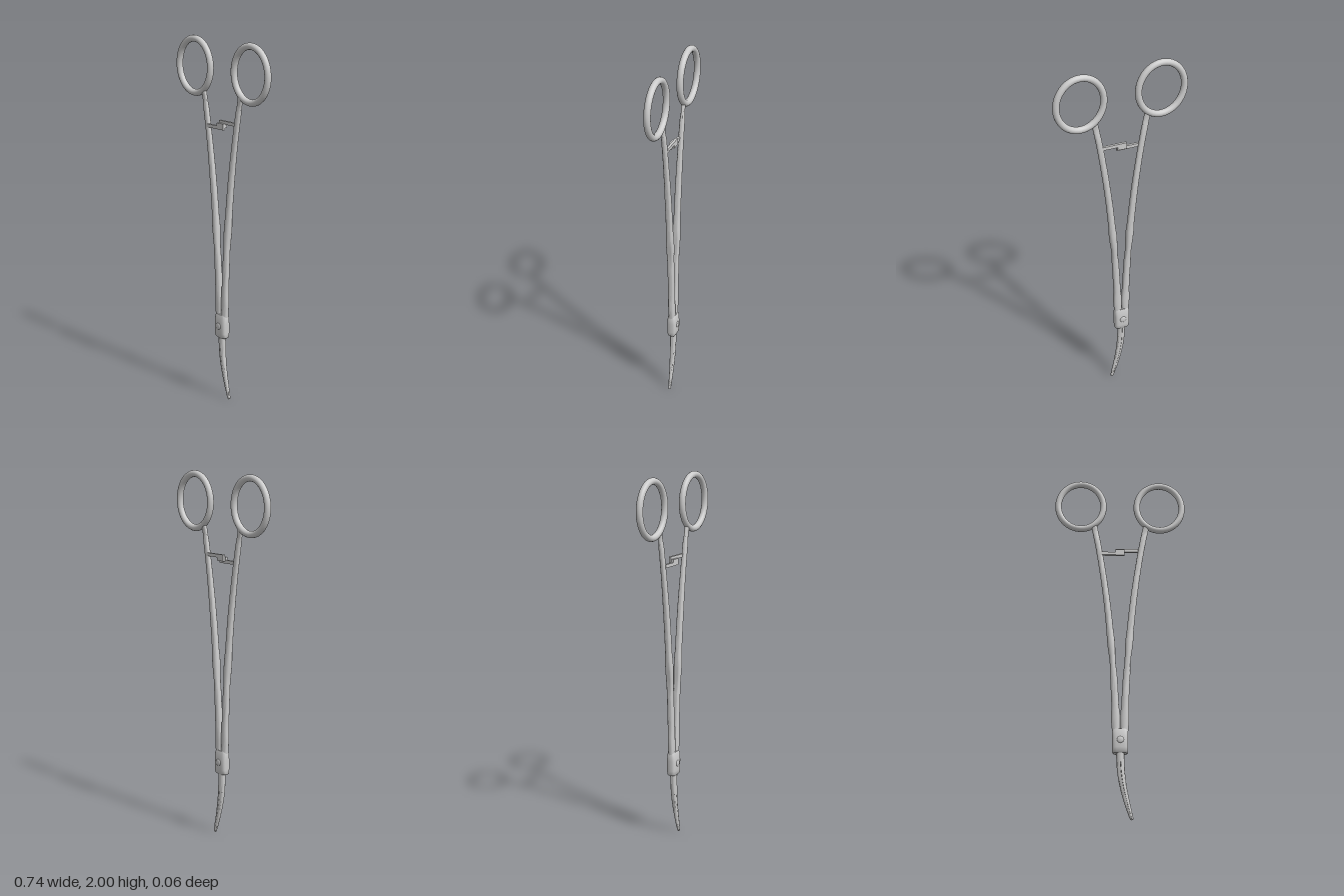
import * as THREE from 'three';
import { toCreasedNormals } from 'three/addons/utils/BufferGeometryUtils.js';

const steel = new THREE.MeshStandardMaterial({ color: 0xcccccc });

function add(parent, name, geometry, x = 0, y = 0, z = 0) {
  const mesh = new THREE.Mesh(geometry, steel);
  mesh.name = name;
  mesh.position.set(x, y, z);
  parent.add(mesh);
  return mesh;
}

// Superellipse outline over an angle range; power 1 is an ellipse, smaller is boxier.
function section(count, power = 1, start = 0, sweep = Math.PI * 2) {
  const full = sweep > 6;
  return Array.from({ length: count }, (_, i) => {
    const a = start + (sweep * i) / (full ? count : count - 1);
    const f = (v) => Math.abs(v) < 1e-6 ? 0 : Math.sign(v) * Math.abs(v) ** power;
    return [f(Math.cos(a)), f(Math.sin(a))];
  });
}

// Sweeps an outline along stations [x, y, half width, half depth] in the xy plane.
function loft(stations, outline, crease = 0.7) {
  const n = outline.length, last = stations.length - 1;
  const pos = [], idx = [];
  stations.forEach(([x, y, w, d], i) => {
    const p = stations[Math.max(i - 1, 0)], q = stations[Math.min(i + 1, last)];
    const t = new THREE.Vector2(q[0] - p[0], q[1] - p[1]).normalize();
    for (const [u, v] of outline) pos.push(x + t.y * u * w, y - t.x * u * w, v * d);
  });
  for (let i = 0; i < last; i++) {
    for (let j = 0; j < n; j++) {
      const a = i * n + j, b = i * n + (j + 1) % n;
      idx.push(a, a + n, b, b, a + n, b + n);
    }
  }
  // End caps
  for (let j = 1; j < n - 1; j++) {
    idx.push(0, j, j + 1);
    idx.push(last * n, last * n + j + 1, last * n + j);
  }
  const g = new THREE.BufferGeometry();
  g.setAttribute('position', new THREE.Float32BufferAttribute(pos, 3));
  g.setIndex(idx);
  return toCreasedNormals(g, crease);
}

// Interpolates a few stations into a smooth run.
function smooth(stations, count) {
  const path = new THREE.CatmullRomCurve3(stations.map((s) => new THREE.Vector3(s[0], s[1], 0)));
  const size = new THREE.CatmullRomCurve3(stations.map((s) => new THREE.Vector3(s[2], s[3], 0)));
  return Array.from({ length: count + 1 }, (_, i) => {
    const p = path.getPoint(i / count), s = size.getPoint(i / count);
    return [p.x, p.y, s.x, s.y];
  });
}

export function createModel() {
  const model = new THREE.Group();
  model.name = 'curvedClamp';

  // Finger rings and shanks, one per side
  const shank = [
    [0.021, 0.46, 0.02, 0.018], [0.025, 0.6, 0.02, 0.018], [0.036, 0.82, 0.019, 0.018],
    [0.053, 1.04, 0.019, 0.018], [0.075, 1.26, 0.018, 0.017], [0.105, 1.48, 0.017, 0.014],
    [0.132, 1.64, 0.017, 0.013], [0.149, 1.722, 0.017, 0.013],
  ];
  for (const side of [1, -1]) {
    const label = side > 0 ? 'left' : 'right';
    const loop = Array.from({ length: 32 }, (_, i) => {
      const a = (i / 32) * Math.PI * 2;
      return new THREE.Vector3(0.128 * Math.cos(a), 0.145 * Math.sin(a), 0);
    });
    const ring = new THREE.TubeGeometry(new THREE.CatmullRomCurve3(loop, true), 48, 0.018, 14, true);
    add(model, label + 'FingerRing', ring, side * 0.222, 1.837, 0);
    const path = shank.map(([x, y, w, d]) => [side * x, y, w, d]);
    add(model, label + 'Shank', loft(smooth(path, 32), section(16, 0.85)));
  }

  // Ratchet: overlapping arms, each with a catch at its tip
  const box = (w, h, d) => new THREE.BoxGeometry(w, h, d);
  add(model, 'rightRatchetArm', box(0.134, 0.018, 0.014), -0.043, 1.531, 0.008);
  add(model, 'rightRatchetCatch', box(0.05, 0.022, 0.014), -0.001, 1.545, 0.008);
  add(model, 'leftRatchetArm', box(0.136, 0.018, 0.014), 0.042, 1.56, -0.008);
  add(model, 'leftRatchetCatch', box(0.05, 0.022, 0.014), -0.001, 1.545, -0.008);

  // Box lock with softened edges
  add(model, 'boxLock', loft([
    [0, 0.357, 0.036, 0.019], [0, 0.364, 0.041, 0.024], [0, 0.385, 0.042, 0.027],
    [0, 0.44, 0.042, 0.027], [0, 0.478, 0.042, 0.023], [0, 0.49, 0.037, 0.019],
  ], section(24, 0.55)));

  // Domed pivot screw heads, front and back
  const dome = [[0.018, 0], [0.018, 0.004], [0.014, 0.006], [0.008, 0.007], [0, 0.0075]];
  for (const face of [1, -1]) {
    const head = new THREE.LatheGeometry(dome.map((p) => new THREE.Vector2(...p)), 20);
    const screw = add(model, face > 0 ? 'frontScrew' : 'backScrew', head, 0, 0.425, face * 0.0245);
    screw.rotation.x = face * Math.PI / 2;
  }

  // Closed jaws: two half-round tapering blades curving towards +x
  const jaw = [
    [0.061, 0.004, 0.006, 0.004], [0.058, 0.012, 0.009, 0.007], [0.047, 0.05, 0.012, 0.009],
    [0.031, 0.11, 0.015, 0.011], [0.014, 0.19, 0.018, 0.014], [0.004, 0.27, 0.02, 0.016],
    [0, 0.38, 0.021, 0.018],
  ];
  for (const side of [1, -1]) {
    const start = side > 0 ? -Math.PI / 2 : Math.PI / 2;
    const half = section(11, 0.85, start, Math.PI).map(([u, v]) => [u + side * 0.03, v]);
    add(model, side > 0 ? 'leftJaw' : 'rightJaw', loft(smooth(jaw, 24), half));
  }
  return model;
}
